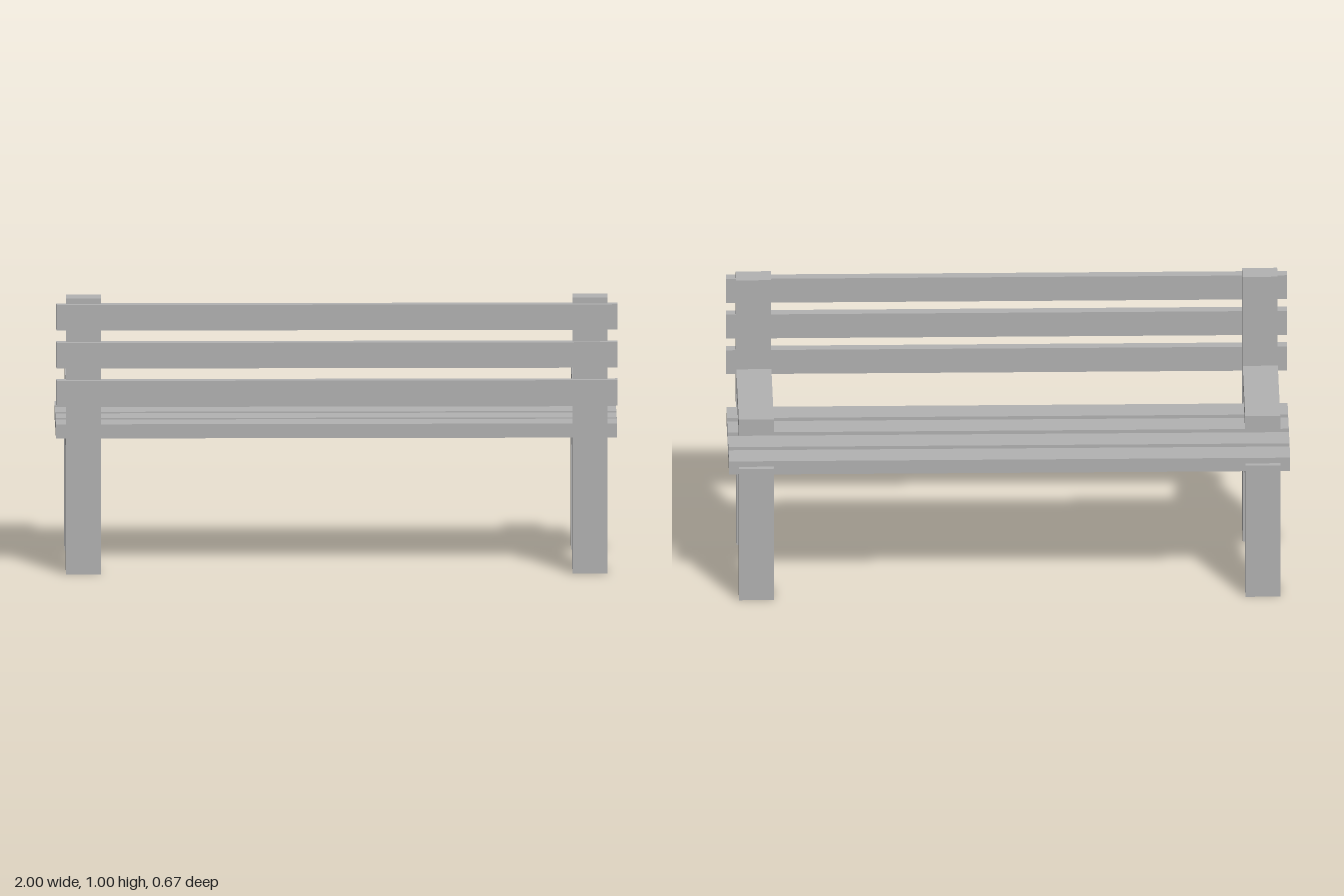
import * as THREE from 'three';

export function createModel() {
  const bench = new THREE.Group();
  bench.name = 'bench';
  const greyWood = new THREE.MeshStandardMaterial({ color: 0xb2b2b2 });
  greyWood.name = 'grey wood';

  const add = (name, geometry) => {
    const mesh = new THREE.Mesh(geometry, greyWood);
    mesh.name = name;
    bench.add(mesh);
  };

  // Box given by its limits along each axis
  const box = (name, [x0, x1], [y0, y1], [z0, z1]) => {
    const geometry = new THREE.BoxGeometry(x1 - x0, y1 - y0, z1 - z0);
    geometry.translate((x0 + x1) / 2, (y0 + y1) / 2, (z0 + z1) / 2);
    add(name, geometry);
  };

  // Side frame profile: two legs joined by a crossbar, drawn as (z, y)
  const frameShape = new THREE.Shape([
    [-0.335, 0], [-0.23, 0], [-0.23, 0.422], [0.19, 0.422],
    [0.19, 0], [0.297, 0], [0.297, 0.505], [-0.335, 0.505],
  ].map(([z, y]) => new THREE.Vector2(z, y)));

  const inner = 0.84, outer = 0.965;
  for (const [side, label] of [[1, 'left'], [-1, 'right']]) {
    const span = side > 0 ? [inner, outer] : [-outer, -inner];

    // Legs and crossbar
    const frame = new THREE.ExtrudeGeometry(frameShape, { depth: outer - inner, bevelEnabled: false });
    frame.rotateY(-Math.PI / 2);
    frame.translate(span[1], 0, 0);
    add(label + 'LegFrame', frame);

    // Back post and armrest
    box(label + 'BackPost', span, [0.505, 1], [0.232, 0.317]);
    box(label + 'Armrest', span, [0.613, 0.675], [-0.285, 0.19]);
  }

  // Seat slats
  [-0.262, -0.126, 0.012, 0.148].forEach((z, i) =>
    box('seatSlat' + (i + 1), [-1, 1], [0.475, 0.526], [z - 0.053, z + 0.053]));

  // Backrest slats
  [0.659, 0.796, 0.933].forEach((y, i) =>
    box('backSlat' + (i + 1), [-1, 1], [y - 0.046, y + 0.046], [0.297, 0.338]));

  return bench;
}
